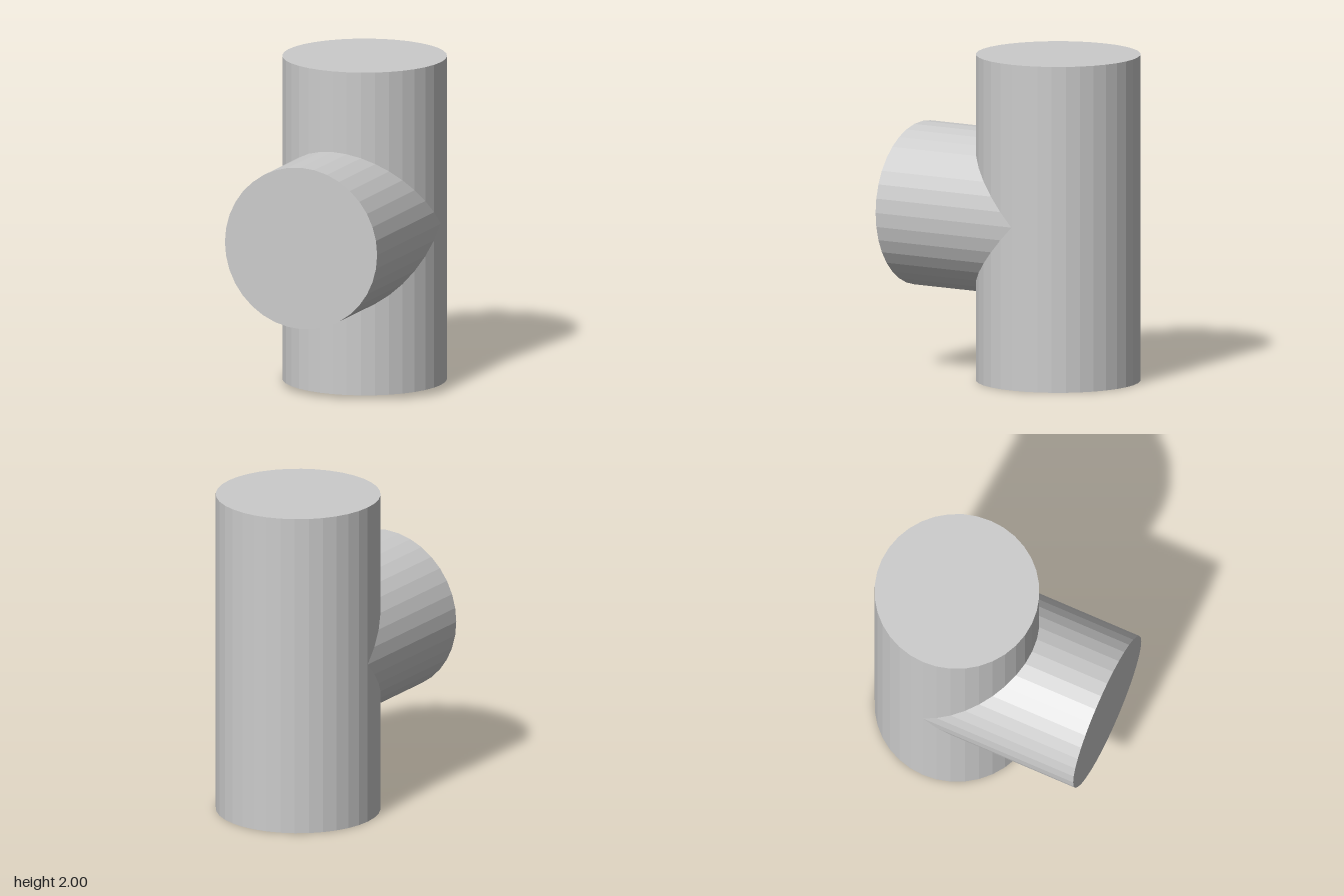
import * as THREE from 'three';

const RADIUS = 0.5;
const SIDES = 36;
const AXIS_Z = -0.25; // z of the upright pipe's axis
const BRANCH_Y = 1;
const BRANCH_END = 0.75;

export function createModel() {
  const group = new THREE.Group();
  group.name = 'pipeTee';
  const material = new THREE.MeshStandardMaterial({ color: 0xcccccc, flatShading: true });

  // Upright main pipe with closed ends
  const main = new THREE.Mesh(new THREE.CylinderGeometry(RADIUS, RADIUS, 2, SIDES), material);
  main.name = 'mainPipe';
  main.position.set(0, 1, AXIS_Z);
  group.add(main);

  // Forward branch wall, its inner rim mitred to meet the main pipe
  const length = BRANCH_END - AXIS_Z;
  const wall = new THREE.CylinderGeometry(RADIUS, RADIUS, length, SIDES, 1, true);
  wall.rotateX(Math.PI / 2);
  wall.translate(0, 0, length / 2);
  const pos = wall.attributes.position;
  for (let i = 0; i < pos.count; i++) {
    if (pos.getZ(i) < length / 2) pos.setZ(i, Math.abs(pos.getY(i)));
  }
  wall.computeVertexNormals();

  const branch = new THREE.Group();
  branch.name = 'branchPipe';
  branch.position.set(0, BRANCH_Y, AXIS_Z);
  const branchWall = new THREE.Mesh(wall, material);
  branchWall.name = 'branchWall';

  // Flat front end of the branch
  const branchCap = new THREE.Mesh(new THREE.CircleGeometry(RADIUS, SIDES), material);
  branchCap.name = 'branchCap';
  branchCap.position.z = length;
  branch.add(branchWall, branchCap);
  group.add(branch);

  return group;
}
